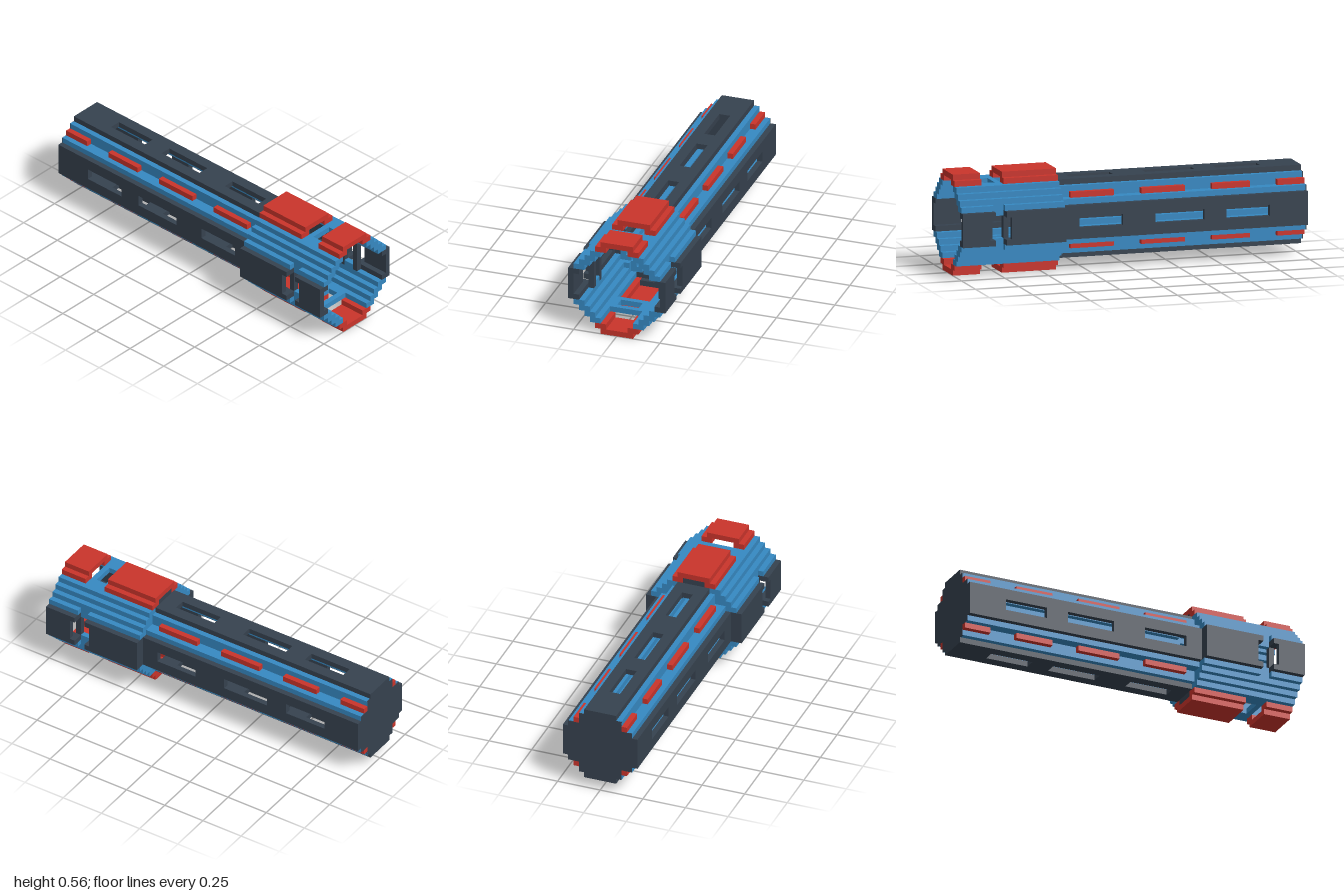
import * as THREE from 'three';
import { mergeGeometries } from 'three/addons/utils/BufferGeometryUtils.js';

const U = 1 / 32; // one block
const CY = 9; // axis height in blocks

export function createModel() {
  const group = new THREE.Group();
  const mat = (name, color) => {
    const m = new THREE.MeshStandardMaterial({ color });
    m.name = name;
    return m;
  };
  const dark = mat('dark slate', 0x36424f);
  const blue = mat('blue', 0x3689c2);
  const red = mat('red', 0xca342b);

  // Box from block limits measured from the tube axis
  const box = (x0, x1, y0, y1, z0, z1) => {
    const g = new THREE.BoxGeometry((x1 - x0) * U, (y1 - y0) * U, (z1 - z0) * U);
    g.translate((x0 + x1) / 2 * U, ((y0 + y1) / 2 + CY) * U, (z0 + z1) / 2 * U);
    return g;
  };
  // Same box repeated in all four quadrants
  const quad = (x0, x1, y0, y1, z0, z1) => [
    box(x0, x1, y0, y1, z0, z1), box(x0, x1, -y1, -y0, z0, z1),
    box(x0, x1, y0, y1, -z1, -z0), box(x0, x1, -y1, -y0, -z1, -z0),
  ];
  // Centred strips of half width w, on top and bottom or on the two sides
  const caps = (x0, x1, a0, a1, w) => [box(x0, x1, a0, a1, -w, w), box(x0, x1, -a1, -a0, -w, w)];
  const sides = (x0, x1, a0, a1, w) => [box(x0, x1, -w, w, a0, a1), box(x0, x1, -w, w, -a1, -a0)];
  const add = (name, material, geometries) => {
    const mesh = new THREE.Mesh(mergeGeometries(geometries.flat()), material);
    mesh.name = name;
    group.add(mesh);
  };

  // Stepped corner walls: [y0, y1, z0, z1] per quadrant
  const walls = (x0, x1, rows) => rows.map((r) => quad(x0, x1, ...r));
  const B0 = -32, B1 = 13, E = 32;

  // Long tube
  add('tubeCorners', blue, walls(B0, B1, [[5, 6, 2, 4], [4, 5, 3, 4], [3, 4, 4, 6], [2, 3, 5, 6]]));

  // Slotted panels on the four flat faces
  const solid = [[B0, -25], [-17, -13], [-4, 2], [10, B1]];
  add('sidePanels', dark, [quad(B0, B1, 1, 3, 6, 7), ...solid.map(([a, b]) => sides(a, b, 6, 7, 1))]);
  add('topBottomPanels', dark, [quad(B0, B1, 6, 7, 1, 3), ...solid.map(([a, b]) => caps(a, b, 6, 7, 1))]);

  // Red inserts along the corner grooves
  add('cornerInserts', red,
    [[-32, -27], [-22, -15], [-10, -2], [3, 11]].map(([a, b]) => quad(a, b, 4, 5, 4, 5)));

  // Closed rear end
  const t = 0.15;
  add('rearCap', dark, [
    box(B0 - 0.02, B0 + t, -3, 3, -7, 7),
    ...[[6, 7, 3], [5, 6, 4], [4, 5, 4], [3, 4, 6]].map(([a, b, w]) => caps(B0 - 0.02, B0 + t, a, b, w)),
  ]);

  // Head sleeve and front ring share one cross-section
  const headRows = [[6, 7, 3, 5], [5, 6, 4, 6], [4, 5, 5, 7], [3, 4, 6, 8]];
  const sections = [
    { name: 'sleeve', x0: 13, x1: 24, p0: 13, p1: 23, f0: 23, f1: 24 },
    { name: 'ring', x0: 26, x1: E, p0: 27, p1: E, f0: 26, f1: 27 },
  ];
  for (const { name, x0, x1, p0, p1, f0, f1 } of sections) {
    // Shell with closing strips beside the gap
    add(name + 'Shell', blue, [...walls(x0, x1, headRows), caps(f0, f1, 6, 7, 3)]);
    // Notched side pads
    add(name + 'SidePads', dark, [
      sides(p0, p1, 8, 9, 3),
      quad(f0, f1, 2, 3, 8, 9),
      quad(x0, x1, 2, 3, 7, 8),
      sides(f0, f1, 6, 7, 3),
    ]);
    // Raised pads above and below
    add(name + 'RedPads', red, [caps(p0, p1, 8, 9, 3), quad(p0, p1, 7, 8, 2, 4)]);
  }

  // Neck bridging the gap between sleeve and ring
  add('neck', blue, walls(24, 26, [[6, 7, 2, 5], [5, 6, 4, 6], [4, 5, 5, 7], [2, 4, 6, 7]]));

  // Back wall of the sleeve
  add('sleeveBackWall', dark, [caps(13, 14, 7, 8, 2), sides(13, 14, 7, 8, 2)]);
  add('sleeveBackCorners', blue, quad(13, 14, 4, 5, 4, 5));

  return group;
}
